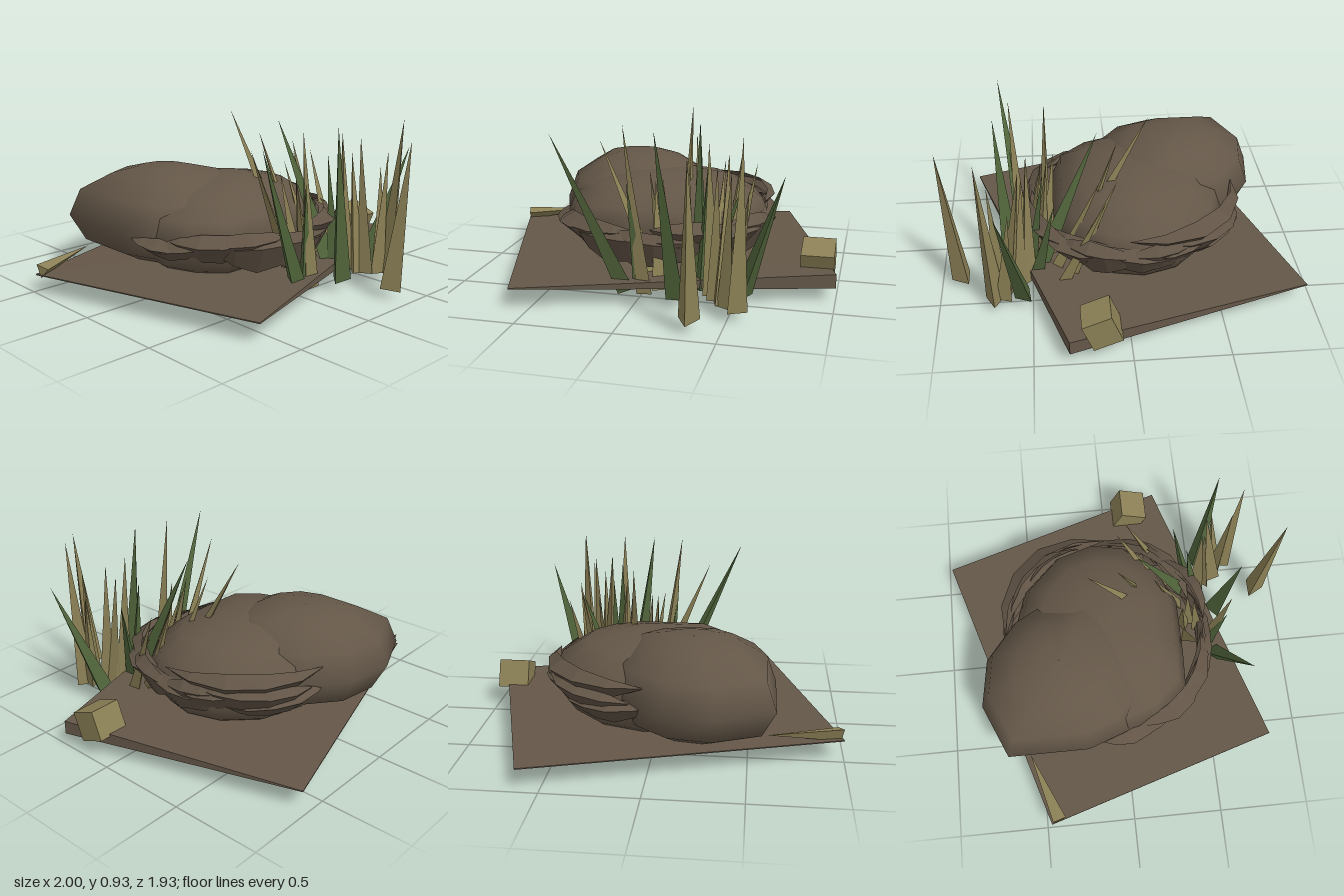
import * as THREE from 'three';

const material = (name, color, side = THREE.FrontSide) =>
  Object.assign(new THREE.MeshStandardMaterial({ color, side }), { name });

// small seeded random
function seeded(s) {
  return () => (s = (s * 16807) % 2147483647) / 2147483647;
}

function surface(points, index, flat) {
  let g = new THREE.BufferGeometry();
  g.setAttribute('position', new THREE.Float32BufferAttribute(points, 3));
  g.setIndex(index);
  if (flat) g = g.toNonIndexed();
  g.computeVertexNormals();
  return g;
}

// smooth stone: a plan outline around [cx, cz], scaled per ring [y, scale], bottom to top
function boulder(outline, [cx, cz], rings) {
  const n = outline.length, pts = [], idx = [];
  rings.forEach(([y, s]) => outline.forEach(([x, z]) => pts.push(cx + (x - cx) * s, y, cz + (z - cz) * s)));
  for (let i = 0; i < rings.length - 1; i++) {
    for (let j = 0; j < n; j++) {
      const p = i * n + j, q = i * n + ((j + 1) % n);
      idx.push(p, p + n, q, q, p + n, q + n);
    }
  }
  return surface(pts, idx, false);
}

// leaning plate wrapped round the front stone, pointed at both ends
function crescent(a0, a1, rIn, rOut, yLow, yHigh, tilt, rnd) {
  const n = 5, pts = [], idx = [], yMid = yLow + (yHigh - yLow) * 0.7;
  for (let i = 0; i <= n; i++) {
    const t = i / n, a = a0 + (a1 - a0) * t, lift = tilt * (t - 0.5);
    const w = Math.min(1, Math.sin(Math.PI * t) * (0.9 + rnd() * 0.3));
    const rows = [
      [rIn, yMid + (yHigh - yMid) * w],
      [rIn + (rOut - rIn) * w, yMid + (yHigh - 0.05 - yMid) * w],
      [rIn - 0.03 * w, yMid + (yLow - yMid) * w],
    ];
    rows.forEach(([r, y]) => pts.push(0.01 + Math.cos(a) * r, y + lift, -0.07 + Math.sin(a) * r));
    if (i < n) {
      for (let k = 0; k < 2; k++) {
        const p = i * 3 + k;
        idx.push(p, p + 3, p + 1, p + 1, p + 3, p + 4);
      }
    }
  }
  return surface(pts, idx, true);
}

export function createModel() {
  const model = new THREE.Group();
  model.name = 'rocksWithGrass';
  const stone = material('brown stone', 0x645748);
  const shell = material('brown stone plates', 0x615446, THREE.DoubleSide);
  const olive = material('olive dry grass', 0x8c8156);
  const green = material('green grass', 0x51653b);

  const add = (name, geometry, mat, parent = model) => {
    const m = new THREE.Mesh(geometry, mat);
    m.name = name;
    parent.add(m);
    return m;
  };

  // ground slab: thin sheet that thickens towards one corner
  const corners = [[-1, -0.47], [-0.6, 0.83], [1, 0.32], [0.62, -0.97]];
  const half = [0.003, 0.003, 0.038, 0.003];
  const slab = [];
  [1, -1].forEach((s) => corners.forEach(([x, z], i) => slab.push(x, 0.107 + s * half[i], z)));
  const faces = [0, 1, 2, 0, 2, 3, 4, 6, 5, 4, 7, 6];
  for (let i = 0; i < 4; i++) {
    const j = (i + 1) % 4;
    faces.push(i, i + 4, j, j, i + 4, j + 4);
  }
  add('groundSlab', surface(slab, faces, true), stone);

  // two stones
  add('backBoulder', boulder([
    [0.25, -0.28], [0.3, -0.08], [0.14, 0.08], [-0.1, 0.16], [-0.38, 0.14], [-0.56, 0],
    [-0.64, -0.22], [-0.64, -0.67], [-0.34, -0.8], [-0.07, -0.76], [0.13, -0.6], [0.22, -0.44],
  ], [-0.2, -0.34], [
    [0.07, 0.002], [0.085, 0.45], [0.18, 0.84], [0.33, 1], [0.48, 0.88], [0.57, 0.55], [0.605, 0.28], [0.61, 0.002],
  ]), stone);
  add('frontBoulder', boulder([
    [0.61, -0.1], [0.57, 0.1], [0.42, 0.27], [0.2, 0.37], [-0.12, 0.37], [-0.35, 0.36], [-0.5, 0.2],
    [-0.58, -0.02], [-0.5, -0.35], [-0.25, -0.55], [0.05, -0.61], [0.34, -0.52], [0.54, -0.32],
  ], [0.03, -0.11], [
    [0, 0.002], [0.006, 0.3], [0.05, 0.57], [0.14, 0.82], [0.29, 1], [0.42, 0.9], [0.51, 0.66], [0.555, 0.3], [0.56, 0.002],
  ]), stone);

  // broken plates around the front stone
  const plates = new THREE.Group();
  plates.name = 'stonePlates';
  model.add(plates);
  const rnd = seeded(4021);
  for (let i = 0; i < 15; i++) {
    const mid = -1.0 + (i / 14) * 4 + (rnd() - 0.5) * 0.2;
    const span = 0.35 + rnd() * 0.25, high = 0.3 + rnd() * 0.12;
    const rIn = 0.54 + rnd() * 0.04, rOut = 0.61 + rnd() * 0.05;
    add('plate', crescent(mid - span, mid + span, rIn, rOut, 0.15 + rnd() * 0.08, high, (rnd() - 0.5) * 0.16, rnd), shell, plates);
  }
  // tall rim plate at the back right
  add('rimPlate', crescent(-1.55, 0.1, 0.57, 0.65, 0.3, 0.47, 0, rnd), shell, plates);

  // grass blades: three-sided spikes from base to tip
  const grass = new THREE.Group();
  grass.name = 'grass';
  model.add(grass);
  const up = new THREE.Vector3(0, 1, 0);
  const blade = (mat, base, tip, r, spin) => {
    const a = new THREE.Vector3(...base), b = new THREE.Vector3(...tip);
    const dir = b.clone().sub(a);
    const g = new THREE.ConeGeometry(r, dir.length(), 3).rotateY(spin).toNonIndexed();
    g.computeVertexNormals();
    const m = add('blade', g, mat, grass);
    m.quaternion.setFromUnitVectors(up, dir.normalize());
    m.position.copy(a.add(b).multiplyScalar(0.5));
  };
  [
    [[-0.05, 0.06, 0.56], [-0.42, 0.88, 0.66], 0.055, 3.1],
    [[0.23, 0.06, 0.62], [0.12, 0.92, 0.67], 0.06, 0.8],
    [[0.32, 0.06, 0.48], [0.24, 0.88, 0.13], 0.06, 0.5],
    [[0.33, 0.07, 0.5], [0.34, 0.7, 0.42], 0.045, 2.1],
    [[0.36, 0.07, 0.48], [0.52, 0.62, 0.37], 0.045, 0.6],
    [[0.55, 0.08, 0.54], [0.76, 0.73, 0.66], 0.055, 0.1],
    [[0.02, 0.07, 0.55], [-0.04, 0.64, 0.6], 0.04, 1],
  ].forEach(([b, t, r, spin]) => blade(green, b, t, r, spin));
  [
    [[0.34, 0.05, 0.88], [0.35, 0.86, 0.96], 0.063],
    [[0.05, 0.05, 0.56], [-0.06, 0.93, 0.59], 0.05],
    [[0.07, 0.06, 0.42], [-0.24, 0.81, 0.4], 0.045],
    [[0.12, 0.06, 0.42], [0.02, 0.65, 0.36], 0.045],
    [[0.14, 0.06, 0.45], [0.1, 0.63, 0.4], 0.045],
    [[0.2, 0.07, 0.3], [0.14, 0.91, -0.15], 0.05],
    [[0.28, 0.08, 0.28], [0.2, 0.8, 0.02], 0.04],
    [[0.42, 0.07, 0.3], [0.46, 0.72, 0.04], 0.045],
    [[0.42, 0.05, 0.58], [0.41, 0.73, 0.53], 0.05],
    [[0.45, 0.05, 0.63], [0.47, 0.81, 0.54], 0.055],
    [[0.49, 0.05, 0.66], [0.51, 0.75, 0.7], 0.05],
    [[0.54, 0.05, 0.7], [0.57, 0.92, 0.75], 0.06],
    [[0.53, 0.06, 0.65], [0.58, 0.63, 0.6], 0.05],
    [[0.39, 0.06, 0.53], [0.36, 0.84, 0.5], 0.055],
    [[-0.985, 0.135, -0.43], [-0.6, 0.16, -0.56], 0.045],
    [[0.25, 0.05, 0.42], [0.2, 0.66, 0.22], 0.04],
    [[0.36, 0.05, 0.38], [0.38, 0.68, 0.12], 0.045],
    [[0.47, 0.05, 0.36], [0.55, 0.66, 0.1], 0.045],
    [[0.1, 0.05, 0.5], [0.07, 0.62, 0.43], 0.045],
  ].forEach(([b, t, r], i) => blade(olive, b, t, r, i * 0.9));

  // tilted block on the slab edge
  const block = add('block', new THREE.BoxGeometry(0.175, 0.16, 0.16), olive);
  block.position.set(0.895, 0.17, 0.155);
  block.rotation.x = 0.38;

  return model;
}
